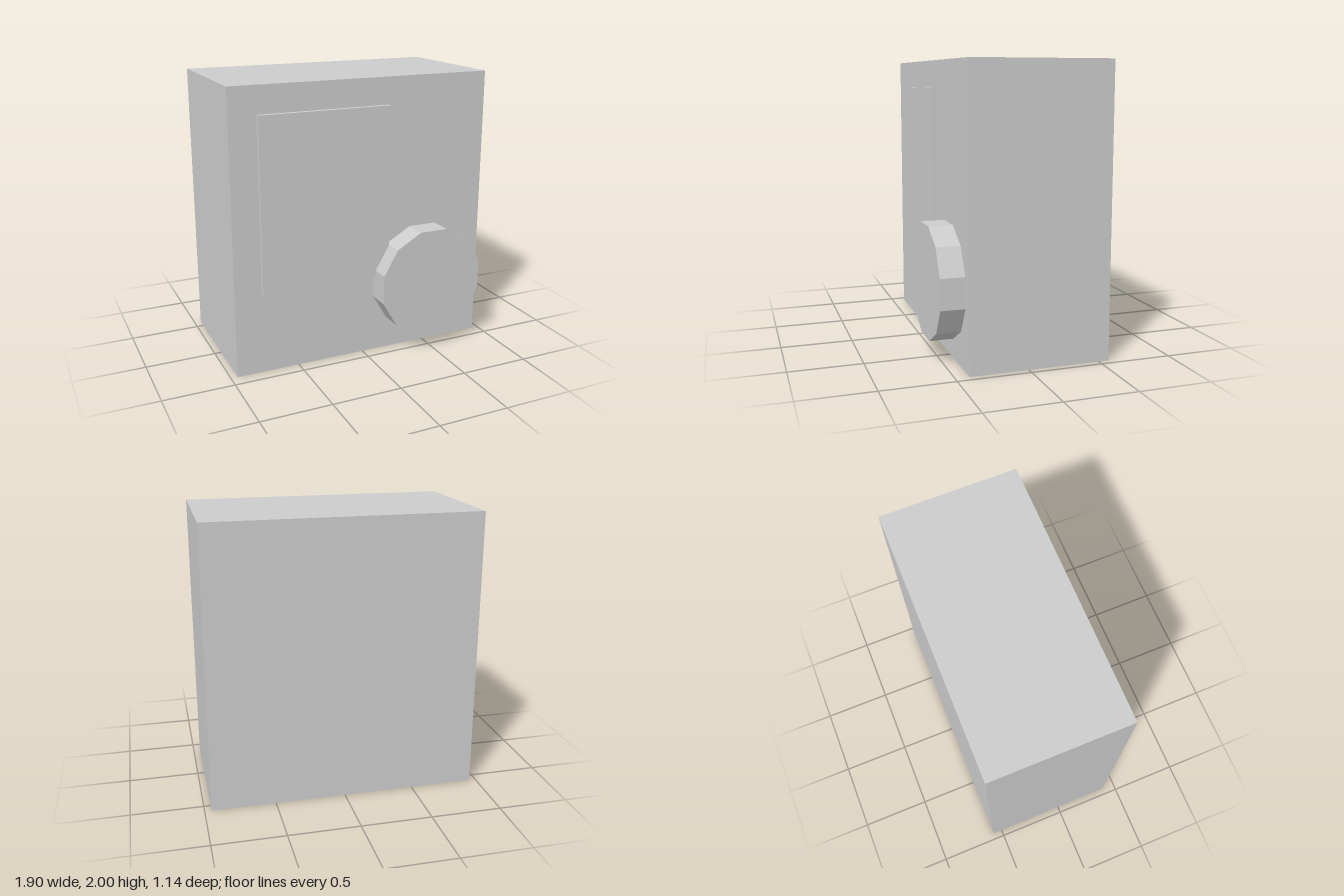
import * as THREE from 'three';

export function createModel() {
  const group = new THREE.Group();
  const grey = new THREE.MeshStandardMaterial({ color: 0xcccccc });
  grey.name = 'light grey';
  grey.flatShading = true;

  const add = (name, geometry, x, y, z) => {
    const mesh = new THREE.Mesh(geometry, grey);
    mesh.name = name;
    mesh.position.set(x, y, z);
    group.add(mesh);
  };

  // Main block, standing on the ground
  const front = 0.404, back = -0.571;
  add('body', new THREE.BoxGeometry(1.905, 2, front - back), 0, 1, (front + back) / 2);

  // Thin raised panel on the front
  const panelDepth = 0.034;
  add('frontPanel', new THREE.BoxGeometry(0.951, 1.235, panelDepth), -0.286, 1.192, front + panelDepth / 2);

  // Twelve-sided dial facing forward, with a flat side on top
  const dialDepth = 0.167;
  const dial = new THREE.CylinderGeometry(0.404, 0.404, dialDepth, 12);
  dial.rotateY(Math.PI / 12).rotateX(Math.PI / 2);
  add('dial', dial, 0.475, 0.525, front + dialDepth / 2);

  return group;
}
